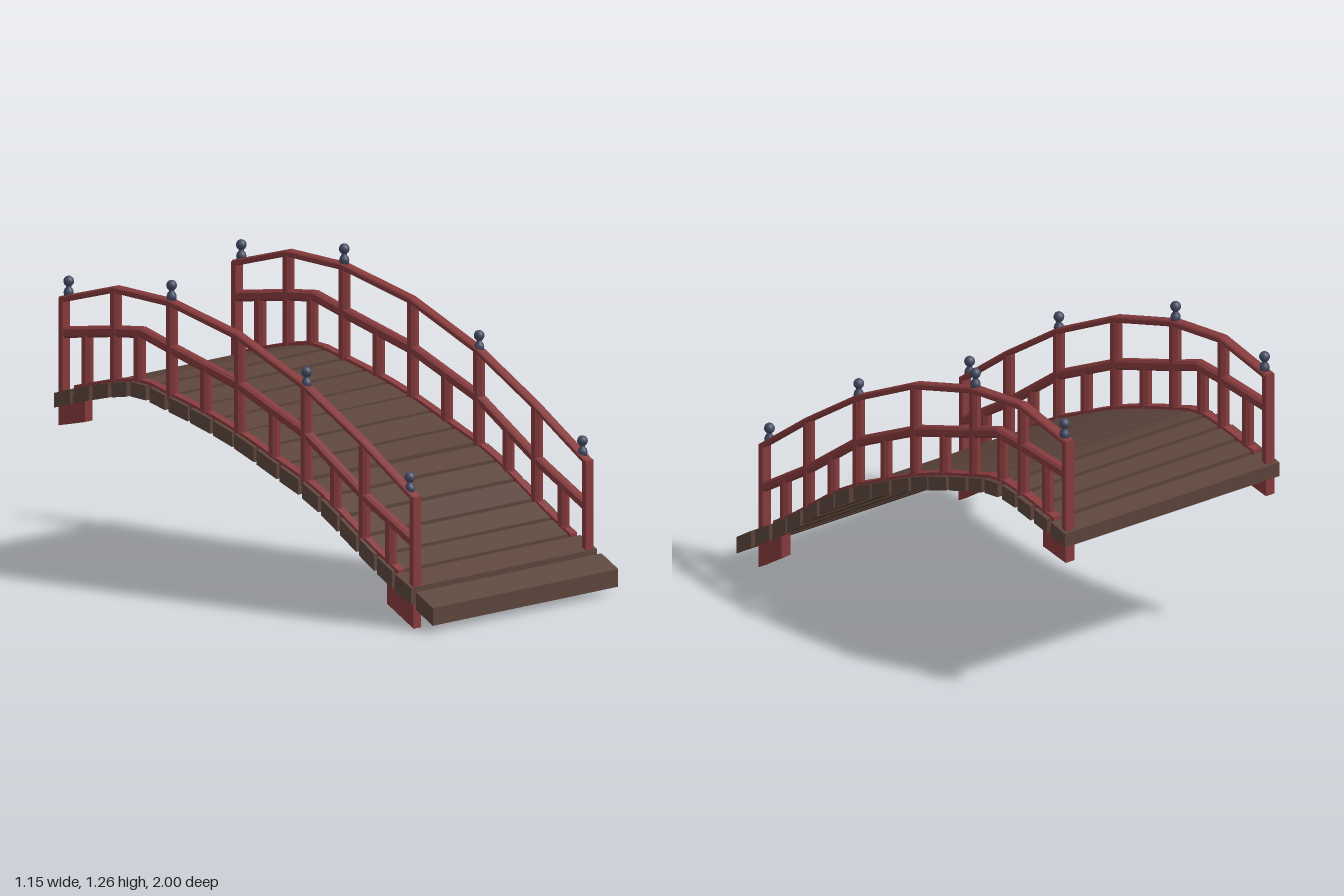
import * as THREE from 'three';

const RAIL_X = 0.532;

// height tables along the bridge as [z, y], front to back
const deckTop = [[1, 0.1], [0.91, 0.155], [0.8, 0.215], [0.67, 0.295], [0.495, 0.417], [0.4, 0.48], [0.29, 0.54],
  [0.183, 0.585], [0.055, 0.642], [-0.06, 0.69], [-0.175, 0.73], [-0.29, 0.765], [-0.41, 0.797], [-0.51, 0.825],
  [-0.59, 0.833], [-0.72, 0.812], [-0.81, 0.79], [-0.91, 0.765], [-1, 0.738]];
const handTop = [[0.885, 0.535], [0.605, 0.735], [0.3, 0.928], [-0.05, 1.09], [-0.41, 1.185], [-0.705, 1.205], [-0.99, 1.13]];
const midTop = [[0.88, 0.365], [0.605, 0.53], [0.3, 0.745], [-0.05, 0.902], [-0.41, 1.008], [-0.56, 1.055], [-0.705, 1.042], [-0.985, 1.005]];

// linear interpolation in a height table
function heightAt(table, z) {
  let i = 0;
  while (i < table.length - 2 && z < table[i + 1][0]) i++;
  const [z0, y0] = table[i], [z1, y1] = table[i + 1];
  return y0 + (y1 - y0) * (z - z0) / (z1 - z0);
}

// side outline of [z, y] points, extruded across x and centred on x = 0
function sideExtrude(points, width, bevel = 0) {
  const shape = new THREE.Shape(points.map(([z, y]) => new THREE.Vector2(z, y)));
  const geo = new THREE.ExtrudeGeometry(shape, {
    depth: width - 2 * bevel, bevelEnabled: bevel > 0, bevelSegments: 1,
    bevelThickness: bevel, bevelSize: bevel, bevelOffset: -bevel,
  });
  geo.translate(0, 0, -(width - 2 * bevel) / 2);
  geo.rotateY(-Math.PI / 2);
  return geo;
}

// band of constant vertical thickness that hangs below a top line
const band = (top, thick) => [...top, ...top.map(([z, y]) => [z, y - thick]).reverse()];

export function createModel() {
  const wood = new THREE.MeshStandardMaterial({ name: 'brown wood', color: 0x5a433a });
  const red = new THREE.MeshStandardMaterial({ name: 'red paint', color: 0x853a3c });
  const blue = new THREE.MeshStandardMaterial({ name: 'slate blue metal', color: 0x434a62 });

  const bridge = new THREE.Group();
  bridge.name = 'archedBridge';
  const add = (parent, name, geo, mat, x = 0, y = 0, z = 0) => {
    const mesh = new THREE.Mesh(geo, mat);
    mesh.name = name;
    mesh.position.set(x, y, z);
    parent.add(mesh);
    return mesh;
  };

  // deck planks, each following the slope of the arch
  const edges = [[1, 0.912], [0.885, 0.8], [0.785, 0.705], [0.69, 0.61], [0.595, 0.51], [0.495, 0.41], [0.395, 0.31],
    [0.29, 0.19], [0.175, 0.07], [0.055, -0.05], [-0.06, -0.16], [-0.175, -0.28], [-0.295, -0.395], [-0.415, -0.495],
    [-0.515, -0.595], [-0.615, -0.695], [-0.715, -0.795], [-0.815, -0.895], [-0.915, -1]];
  const deck = new THREE.Group();
  deck.name = 'deck';
  bridge.add(deck);
  edges.forEach(([a, b], i) => {
    const top = [[a, heightAt(deckTop, a)], [b, heightAt(deckTop, b)]];
    const thick = 0.06 + 0.012 * Math.max(0, 1 - i / 9);
    const wobble = 0.003 * Math.sin(i * 2.4);
    add(deck, 'plank', sideExtrude(band(top, thick), 1.143 + wobble), wood, wobble / 2);
  });

  // profile of the post finial, measured from the centre of its ball
  const profile = [[0, -0.066], [0.018, -0.064], [0.021, -0.046], [0.018, -0.034], [0.01, -0.024], [0.012, -0.018]];
  for (let i = 0; i <= 6; i++) {
    const t = -0.7 + (Math.PI / 2 + 0.7) * i / 6;
    profile.push([Math.max(0, 0.022 * Math.cos(t)), 0.022 * Math.sin(t)]);
  }
  const finialGeo = new THREE.LatheGeometry(profile.map(([r, y]) => new THREE.Vector2(r, y)), 14);

  for (const side of [1, -1]) {
    const railing = new THREE.Group();
    railing.name = side > 0 ? 'leftRailing' : 'rightRailing';
    railing.position.x = side * RAIL_X;
    bridge.add(railing);

    add(railing, 'handRail', sideExtrude(band(handTop, 0.027), 0.047, 0.006), red);
    add(railing, 'middleRail', sideExtrude(band(midTop, 0.045), 0.045, 0.01), red);

    // thin curb along the deck
    const curb = deckTop.filter(([z]) => z < 0.88 && z > -0.98).map(([z, y]) => [z, y + 0.012]);
    add(railing, 'curb', sideExtrude(band(curb, 0.02), 0.04), red);

    // eight-sided posts, tall ones to the hand rail and short ones to the middle rail
    const addPost = (name, z, top) => {
      const y0 = heightAt(deckTop, z) - 0.02, y1 = heightAt(top, z) - 0.018;
      const geo = new THREE.CylinderGeometry(0.0255, 0.0255, y1 - y0, 8).rotateY(Math.PI / 8).toNonIndexed();
      geo.computeVertexNormals();
      add(railing, name, geo, red, 0, (y0 + y1) / 2, z);
    };
    for (const z of [0.605, 0.3, -0.05, -0.41, -0.705]) addPost('tallPost', z, handTop);
    for (const z of [0.745, 0.455, 0.13, -0.23, -0.58, -0.855]) addPost('shortPost', z, midTop);

    // flat end posts
    for (const z of [0.873, -0.978]) {
      const y0 = heightAt(deckTop, z) - 0.02, y1 = heightAt(handTop, z) - 0.008;
      add(railing, 'endPost', new THREE.BoxGeometry(0.046, y1 - y0, 0.022), red, 0, (y0 + y1) / 2, z);
    }

    // feet under both ends
    add(railing, 'frontFoot', sideExtrude([[0.885, 0], [0.745, 0.085], [0.745, 0.22], [0.885, 0.13]], 0.047), red);
    add(railing, 'backFoot', sideExtrude([[-0.85, 0.635], [-0.99, 0.605], [-0.99, 0.71], [-0.85, 0.75]], 0.047), red);

    // finials
    for (const [z, y] of [[0.845, 0.61], [0.3, 0.974], [-0.412, 1.242], [-0.955, 1.194]]) {
      add(railing, 'finial', finialGeo, blue, 0, y, z);
    }
  }
  return bridge;
}
